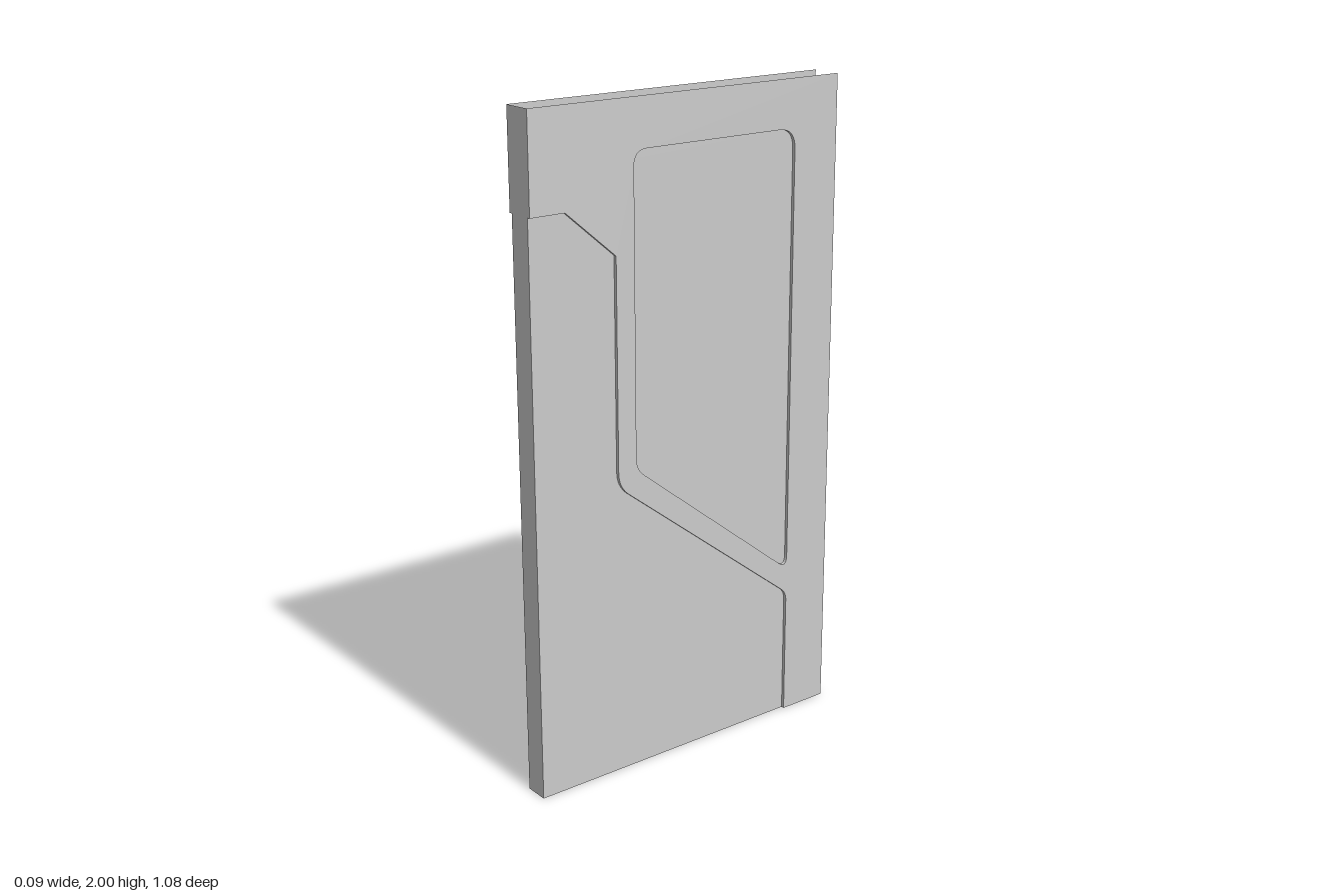
import * as THREE from 'three';

const OUTER = 0.047, INNER = 0.037, HALF = 0.54, TOP = 2, STEP_Y = 1.715;

// Turn corners [u, y, cut] into points, rounding each corner that has a cut length
function roundCorners(corners, closed) {
  const n = corners.length, points = [];
  corners.forEach(([u, y, cut], i) => {
    const p = new THREE.Vector2(u, y);
    if (!cut || (!closed && (i === 0 || i === n - 1))) { points.push(p); return; }
    const toward = (k) => {
      const q = new THREE.Vector2(corners[k][0], corners[k][1]);
      return q.sub(p).setLength(cut).add(p);
    };
    const curve = new THREE.QuadraticBezierCurve3(
      ...[toward((i + n - 1) % n), p, toward((i + 1) % n)].map((v) => new THREE.Vector3(v.x, v.y, 0)));
    curve.getPoints(8).forEach((v) => points.push(new THREE.Vector2(v.x, v.y)));
  });
  return points;
}

// Flat sheet facing +x; the shape's u axis runs toward the back
function sheet(points, x, hole) {
  const shape = new THREE.Shape(points);
  if (hole) shape.holes.push(new THREE.Path(hole));
  return new THREE.ShapeGeometry(shape).rotateY(Math.PI / 2).translate(x, 0, 0);
}

// Narrow wall joining the raised and recessed levels along a line
function wall(points) {
  const pos = [];
  for (let i = 0; i < points.length - 1; i++) {
    const a = points[i], b = points[i + 1];
    const [ao, ai, bo, bi] = [[OUTER, a.y, -a.x], [INNER, a.y, -a.x], [OUTER, b.y, -b.x], [INNER, b.y, -b.x]];
    pos.push(...ao, ...bo, ...ai, ...ai, ...bo, ...bi);
  }
  const g = new THREE.BufferGeometry();
  g.setAttribute('position', new THREE.Float32BufferAttribute(pos, 3));
  g.computeVertexNormals();
  return g;
}

export function createModel() {
  const model = new THREE.Group();
  model.name = 'doorPanel';
  const material = new THREE.MeshStandardMaterial({ color: 0xcccccc, side: THREE.DoubleSide });
  const add = (parent, name, geometry) => {
    const mesh = new THREE.Mesh(geometry, material);
    mesh.name = name;
    parent.add(mesh);
    return mesh;
  };

  // Step line between the raised frame and the lower panel, and the window outline
  const step = roundCorners([
    [-HALF, STEP_Y], [-0.428, STEP_Y], [-0.263, 1.575],
    [-0.263, 0.903, 0.045], [0.38, 0.404, 0.025], [0.38, 0],
  ], false);
  const pane = roundCorners([
    [-0.2, 1.857, 0.045], [-0.2, 0.943, 0.035], [0.38, 0.485, 0.045], [0.38, 1.857, 0.06],
  ], true);
  const v = (u, y) => new THREE.Vector2(u, y);

  // Both side faces, the right mirrored from the left
  for (const side of [1, -1]) {
    const face = new THREE.Group();
    face.name = side > 0 ? 'leftFace' : 'rightFace';
    add(face, 'raisedFrame', sheet([...step, v(HALF, 0), v(HALF, TOP), v(-HALF, TOP)], OUTER, pane));
    add(face, 'lowerPanel', sheet([v(-HALF, 0), ...step], INNER));
    add(face, 'windowPanel', sheet(pane, INNER));
    add(face, 'frameStep', wall(step));
    add(face, 'windowStep', wall([...pane, pane[0]].reverse()));
    face.scale.x = side;
    model.add(face);
  }

  // Front edge: a wider strip above the step, a narrower one below
  add(model, 'upperFrontEdge', new THREE.PlaneGeometry(OUTER * 2, TOP - STEP_Y))
    .position.set(0, (TOP + STEP_Y) / 2, HALF);
  add(model, 'lowerFrontEdge', new THREE.PlaneGeometry(INNER * 2, STEP_Y))
    .position.set(0, STEP_Y / 2, HALF);

  return model;
}
